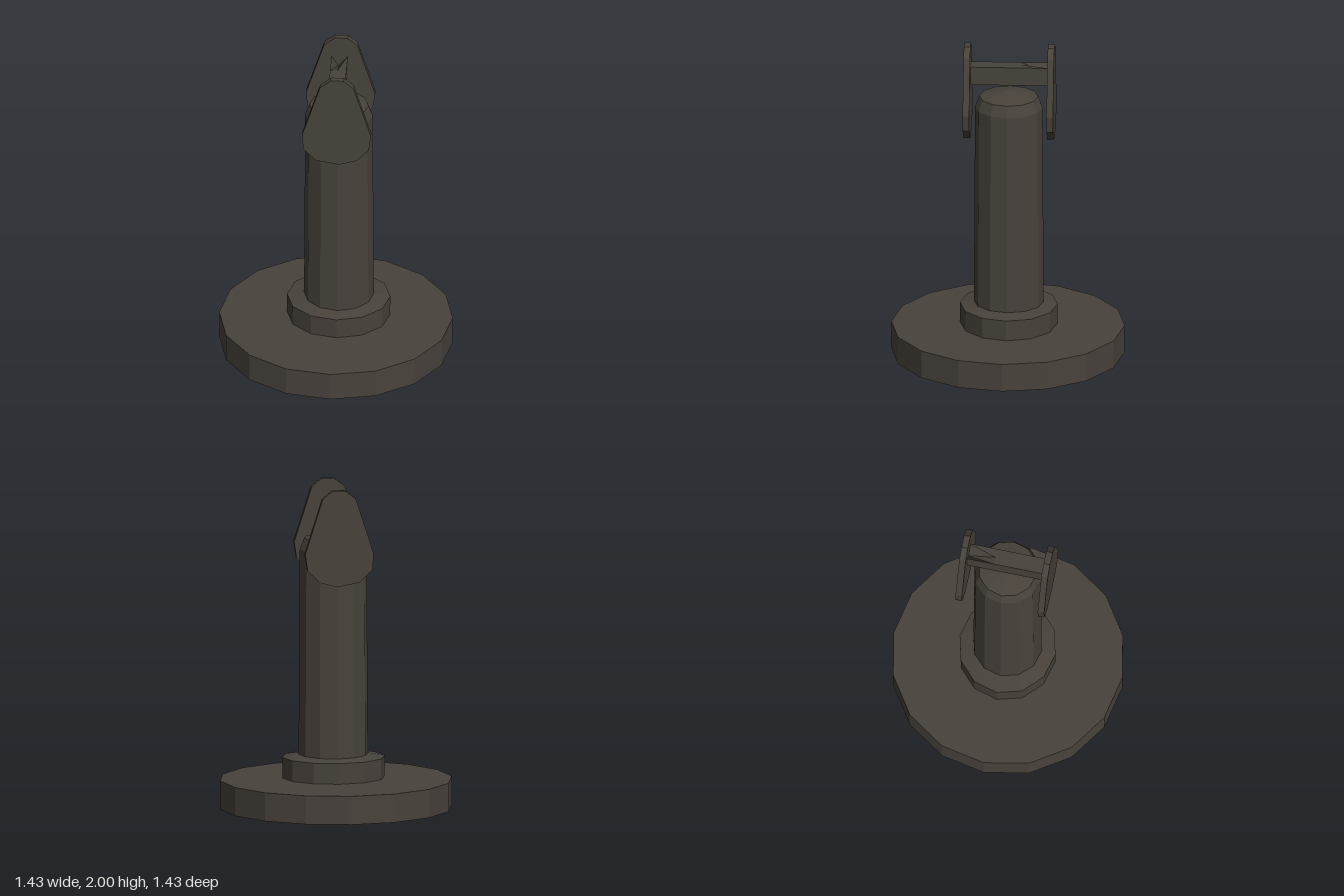
import * as THREE from 'three';

const darkMetal = new THREE.MeshStandardMaterial({ color: 0x48423b, flatShading: true });
darkMetal.name = 'darkMetal';

function addPart(group, name, geometry, x = 0, y = 0, z = 0) {
  const mesh = new THREE.Mesh(geometry, darkMetal);
  mesh.name = name;
  mesh.position.set(x, y, z);
  group.add(mesh);
  return mesh;
}

// Faceted turned part from [radius, height] pairs, listed bottom to top
function turned(profile, sides) {
  return new THREE.LatheGeometry(profile.map(([r, y]) => new THREE.Vector2(r, y)), sides);
}

// Crossbar from two-sided sections: the top centre sinks into a notch at the back end
function crossbarGeometry() {
  const sections = [[0.24, 1.87], [-0.08, 1.87], [-0.255, 1.80]];
  const loops = sections.map(([z, dip]) => [
    [-0.04, 1.755, z], [0.06, 1.755, z], [0.06, 1.87, z], [0.005, dip, z], [-0.04, 1.87, z],
  ]);
  const positions = [];
  const n = 5;
  for (let s = 0; s < loops.length - 1; s++) {
    for (let i = 0; i < n; i++) {
      const j = (i + 1) % n;
      const a = loops[s][i], b = loops[s][j];
      const c = loops[s + 1][j], d = loops[s + 1][i];
      positions.push(...a, ...d, ...b, ...d, ...c, ...b);
    }
  }
  const geometry = new THREE.BufferGeometry();
  geometry.setAttribute('position', new THREE.Float32BufferAttribute(positions, 3));
  geometry.computeVertexNormals();
  return geometry;
}

export function createModel() {
  const group = new THREE.Group();
  group.name = 'pedestal';

  // Wide disc foot with a barely domed top
  addPart(group, 'base', turned([[0, 0], [0.715, 0], [0.715, 0.176], [0.3, 0.187], [0, 0.187]], 16));

  // Collar around the foot of the column
  const collar = addPart(group, 'collar',
    turned([[0.315, 0.17], [0.317, 0.315], [0.2, 0.335], [0, 0.335]], 12), 0.016, 0, -0.006);
  collar.scale.z = 0.945;

  // Column with a chamfered, shallow pointed cap
  addPart(group, 'column',
    turned([[0.214, 0.3], [0.207, 1.6], [0.18, 1.67], [0, 1.708]], 12), 0.018, 0, -0.006);

  // Matching teardrop plates at front and back
  const outline = [
    [-0.02, 2.0], [-0.085, 1.95], [-0.195, 1.61], [-0.188, 1.51], [-0.11, 1.432], [0.03, 1.405],
    [0.14, 1.435], [0.213, 1.51], [0.228, 1.61], [0.12, 1.95], [0.06, 2.0],
  ].map(([x, y]) => new THREE.Vector2(x, y));
  const plate = new THREE.ExtrudeGeometry(new THREE.Shape(outline), { depth: 0.04, bevelEnabled: false });
  addPart(group, 'frontPlate', plate, 0, 0, 0.227);
  addPart(group, 'backPlate', plate, 0, 0, -0.287);

  // Bar joining the two plates
  addPart(group, 'crossbar', crossbarGeometry());

  return group;
}
